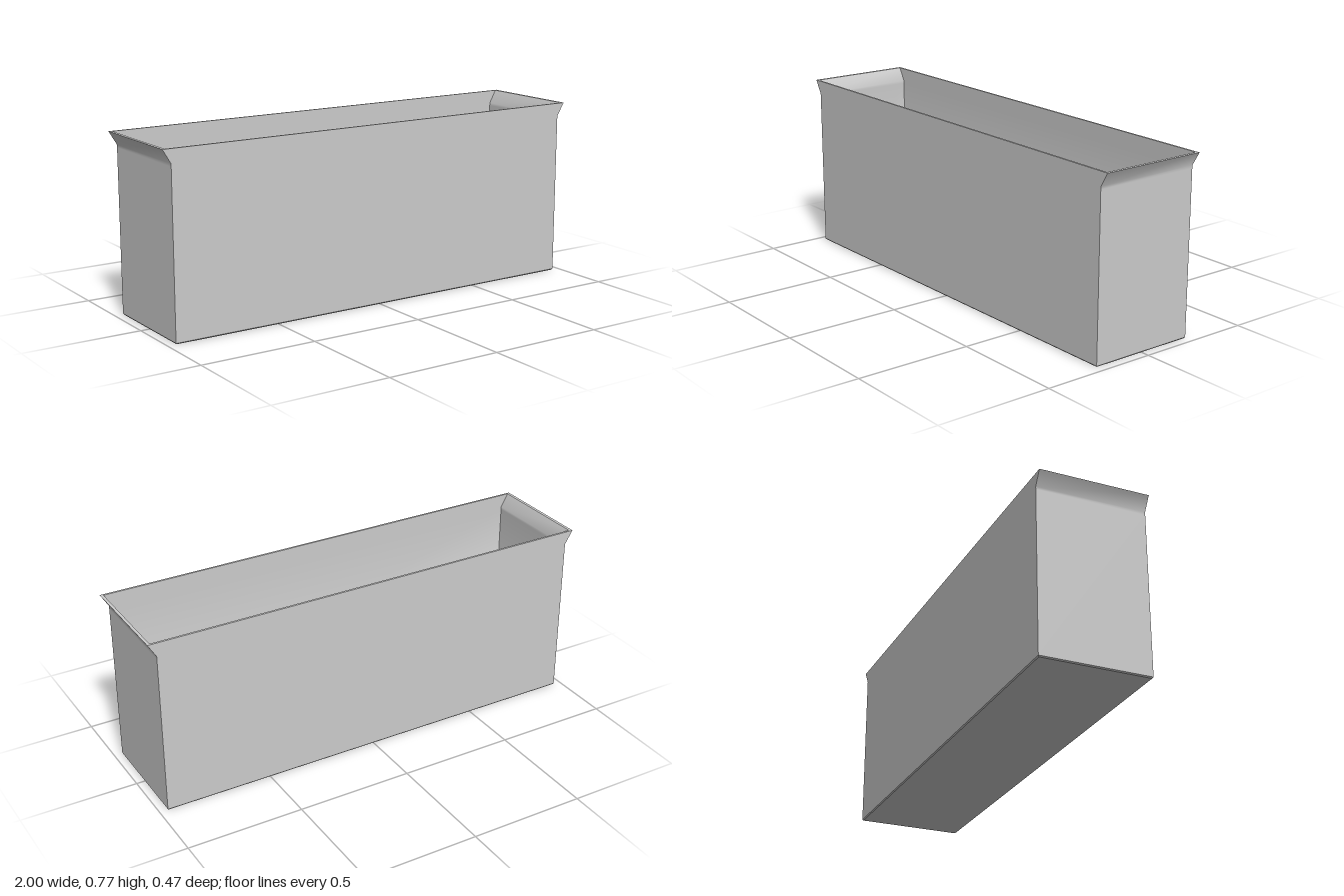
import * as THREE from 'three';
import { toCreasedNormals } from 'three/addons/utils/BufferGeometryUtils.js';

// Skin through rectangular rings [halfX, y, halfZ]; optional cap on the last ring.
function ringSkin(rings, cap, creaseDegrees) {
  const pos = [];
  const corners = rings.map(([x, y, z]) => [[x, y, z], [x, y, -z], [-x, y, -z], [-x, y, z]]);
  const quad = (a, b, c, d) => pos.push(...a, ...b, ...c, ...a, ...c, ...d);
  for (let i = 0; i < corners.length - 1; i++) {
    for (let k = 0; k < 4; k++) {
      const n = (k + 1) % 4;
      quad(corners[i][k], corners[i][n], corners[i + 1][n], corners[i + 1][k]);
    }
  }
  if (cap) quad(...corners[corners.length - 1]);
  const geometry = new THREE.BufferGeometry();
  geometry.setAttribute('position', new THREE.Float32BufferAttribute(pos, 3));
  return toCreasedNormals(geometry, THREE.MathUtils.degToRad(creaseDegrees));
}

export function createModel() {
  const group = new THREE.Group();
  group.name = 'planterBox';
  const grey = new THREE.MeshStandardMaterial({ color: 0xcccccc });
  grey.name = 'light grey';

  const add = (name, geometry) => {
    const mesh = new THREE.Mesh(geometry, grey);
    mesh.name = name;
    group.add(mesh);
    return mesh;
  };

  // Outer walls, flaring outwards at the two ends
  add('outerWalls', ringSkin([
    [0.965, 0.005, 0.235], [0.965, 0.70, 0.235], [0.965, 0.712, 0.235], [1, 0.77, 0.235],
  ], false, 50));

  // Flat rim joining the outer and inner walls
  add('rim', ringSkin([[1, 0.77, 0.235], [0.987, 0.77, 0.226]], false, 20));

  // Inner walls, sloped lower edge and floor
  add('innerBasin', ringSkin([
    [0.987, 0.77, 0.226], [0.955, 0.712, 0.226], [0.955, 0.70, 0.226],
    [0.955, 0.12, 0.226], [0.845, 0.01, 0.116],
  ], true, 50));

  // Underside with a narrow bevel
  const base = ringSkin([[0.965, 0.005, 0.235], [0.961, 0, 0.231]], true, 20);
  // Reverse the winding so that the underside faces outwards
  const p = base.attributes.position;
  for (let i = 0; i < p.count; i += 3) {
    const b = new THREE.Vector3().fromBufferAttribute(p, i + 1);
    const c = new THREE.Vector3().fromBufferAttribute(p, i + 2);
    p.setXYZ(i + 1, c.x, c.y, c.z);
    p.setXYZ(i + 2, b.x, b.y, b.z);
  }
  base.computeVertexNormals();
  add('underside', base);

  return group;
}
